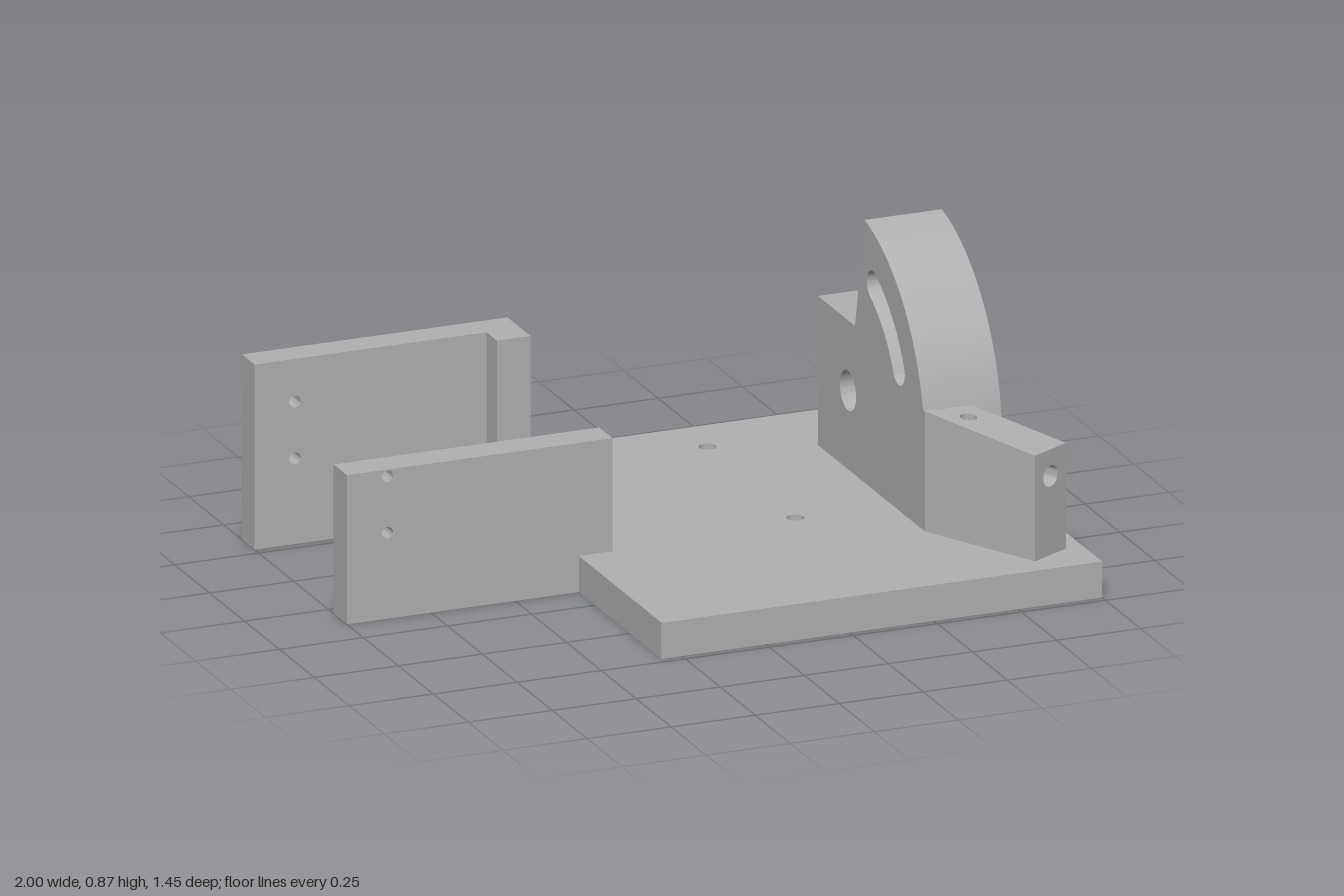
import * as THREE from 'three';
import { toCreasedNormals } from 'three/addons/utils/BufferGeometryUtils.js';

const grey = new THREE.MeshStandardMaterial({ color: 0xb0b0b0 });
grey.name = 'grey';

const polygon = (pts) => new THREE.Shape(pts.map(([x, y]) => new THREE.Vector2(x, y)));
const rect = (x0, y0, x1, y1) => polygon([[x0, y0], [x1, y0], [x1, y1], [x0, y1]]);
const circle = (x, y, r) => new THREE.Path().absarc(x, y, r, 0, Math.PI * 2, false);
const extrude = (shape, depth) =>
  new THREE.ExtrudeGeometry(shape, { depth, bevelEnabled: false, curveSegments: 24 });

// Blind round hole: mouth at the origin, sinking along -y
function bore(r, depth) {
  const pts = [[r, 0], [r, -depth], [0, -depth]].map(([x, y]) => new THREE.Vector2(x, y));
  return toCreasedNormals(new THREE.LatheGeometry(pts, 24), 0.6);
}

// Remove the triangles whose three corners all pass the test
function dropFaces(geometry, test) {
  const p = geometry.getAttribute('position');
  const kept = [];
  for (let i = 0; i < p.count; i += 3) {
    const tri = [0, 1, 2].map((k) => new THREE.Vector3().fromBufferAttribute(p, i + k));
    if (!tri.every(test)) kept.push(...tri);
  }
  return new THREE.BufferGeometry().setFromPoints(kept);
}

export function createModel() {
  const model = new THREE.Group();
  const add = (parent, name, geometry) => {
    const mesh = new THREE.Mesh(geometry, grey);
    mesh.name = name;
    parent.add(mesh);
    return mesh;
  };
  const subgroup = (name) => {
    const g = new THREE.Group();
    g.name = name;
    model.add(g);
    return g;
  };

  // Base plate with four screw holes
  const T = 0.105;
  const base = rect(-0.31, -0.725, 1, 0.725);
  for (const x of [0.36, 0.77]) for (const z of [-0.56, 0.07]) base.holes.push(circle(x, -z, 0.025));
  add(model, 'basePlate', toCreasedNormals(extrude(base, T).rotateX(-Math.PI / 2), 0.6));

  // Two upright side plates, each with a lip where it meets the base
  const plates = [
    { name: 'backPlate', top: 0.54, z0: -0.62, z1: -0.53, lip: [-0.53, -0.455], lipTop: 0.54 },
    { name: 'frontPlate', top: 0.435, z0: 0.037, z1: 0.132, lip: [-0.04, 0.037], lipTop: 0.19 },
  ];
  for (const p of plates) {
    const g = subgroup(p.name);
    const shape = rect(-1, 0, -0.21, p.top);
    for (const y of [0.25, 0.415]) shape.holes.push(circle(-0.88, y, 0.017));
    add(g, p.name + 'Wall', toCreasedNormals(extrude(shape, p.z1 - p.z0).translate(0, 0, p.z0), 0.6));
    const depth = p.lip[1] - p.lip[0];
    add(g, p.name + 'Lip', extrude(rect(-0.31, 0, -0.21, p.lipTop), depth).translate(0, 0, p.lip[0]));
  }

  // Quadrant block: profile drawn with -z to the right, extruded along x
  const block = subgroup('quadrantBlock');
  const X0 = 0.645, X1 = 0.875, SLOT = 0.1, SHELF = 0.54;
  const cs = 0.24, cy = 0.335, R = 0.55;
  const profile = () => {
    const s = polygon([[-0.31, T], [0.455, T], [0.455, SHELF], [0.19, SHELF]]);
    s.absarc(cs, cy, R, Math.PI * 0.57, Math.PI, false);
    s.holes.push(circle(cs, cy, 0.058));
    return s;
  };
  // Curved blind slot on the inner side
  const slot = new THREE.Path();
  const a0 = Math.PI * 0.645, a1 = Math.PI * 0.855, sr = 0.405, w = 0.043;
  const at = (a) => [cs + sr * Math.cos(a), cy + sr * Math.sin(a)];
  slot.absarc(cs, cy, sr + w, a0, a1, false);
  slot.absarc(...at(a1), w, a1, a1 + Math.PI, false);
  slot.absarc(cs, cy, sr - w, a1, a0, true);
  slot.absarc(...at(a0), w, a0 + Math.PI, a0 + Math.PI * 2, false);
  const slotted = profile();
  slotted.holes.push(slot);
  const layers = [['slottedLayer', slotted, X0, SLOT], ['outerLayer', profile(), X0 + SLOT, X1 - X0 - SLOT]];
  for (const [name, shape, x, depth] of layers) {
    const geo = extrude(shape, depth).rotateY(Math.PI / 2).translate(x, 0, 0);
    const open = dropFaces(geo, (v) => Math.abs(v.y - SHELF) < 1e-4);
    add(block, name, toCreasedNormals(open, 0.5));
  }
  // Shelf top with its set-screw hole
  const shelf = rect(X0, 0.19, X1, 0.455);
  shelf.holes.push(circle(0.76, 0.245, 0.023));
  add(block, 'shelfTop', new THREE.ShapeGeometry(shelf, 24).rotateX(-Math.PI / 2).translate(0, SHELF, 0));
  add(block, 'shelfHole', bore(0.023, 0.145)).position.set(0.76, SHELF, -0.245);

  // Angled arm with a sloping top, a vertical hole and a hole along its length
  const arm = subgroup('angledArm');
  const dx = 0.475, dz = 0.88, len = 0.39, wide = 0.135, zs = 0.31;
  const along = (x, z) => (x - X0) * dx + (z - zs) * dz;
  const topY = (t) => 0.455 - 0.042 * Math.max(0, t) / len;
  const L = [X0 + dx * len, zs + dz * len];
  const E = [L[0] + dz * wide, L[1] - dx * wide];
  const plan = polygon([[X0, zs], L, E, [E[0] - dx * 0.34, E[1] - dz * 0.34], [0.7875, 0.2], [X0, 0.2]]
    .map(([x, z]) => [x, -z]));
  plan.holes.push(circle(0.75, -0.37, 0.023));
  const body = extrude(plan, 1).rotateX(-Math.PI / 2);
  const pos = body.getAttribute('position');
  for (let i = 0; i < pos.count; i++) {
    pos.setY(i, pos.getY(i) > 0.5 ? topY(along(pos.getX(i), pos.getZ(i))) : T);
  }
  const openBody = dropFaces(body, (v) => along(v.x, v.z) > len - 0.005);
  add(arm, 'armBody', toCreasedNormals(openBody, 0.4));

  const turn = Math.atan2(dx, dz);
  const mx = (L[0] + E[0]) / 2, mz = (L[1] + E[1]) / 2, holeY = 0.335;
  const end = rect(-wide / 2, T, wide / 2, topY(len));
  end.holes.push(circle(0, holeY, 0.031));
  add(arm, 'armEnd', new THREE.ShapeGeometry(end, 24).rotateY(turn).translate(mx, 0, mz));
  add(arm, 'armHole', bore(0.031, 0.3).rotateX(Math.PI / 2).rotateY(turn).translate(mx, holeY, mz));

  return model;
}
